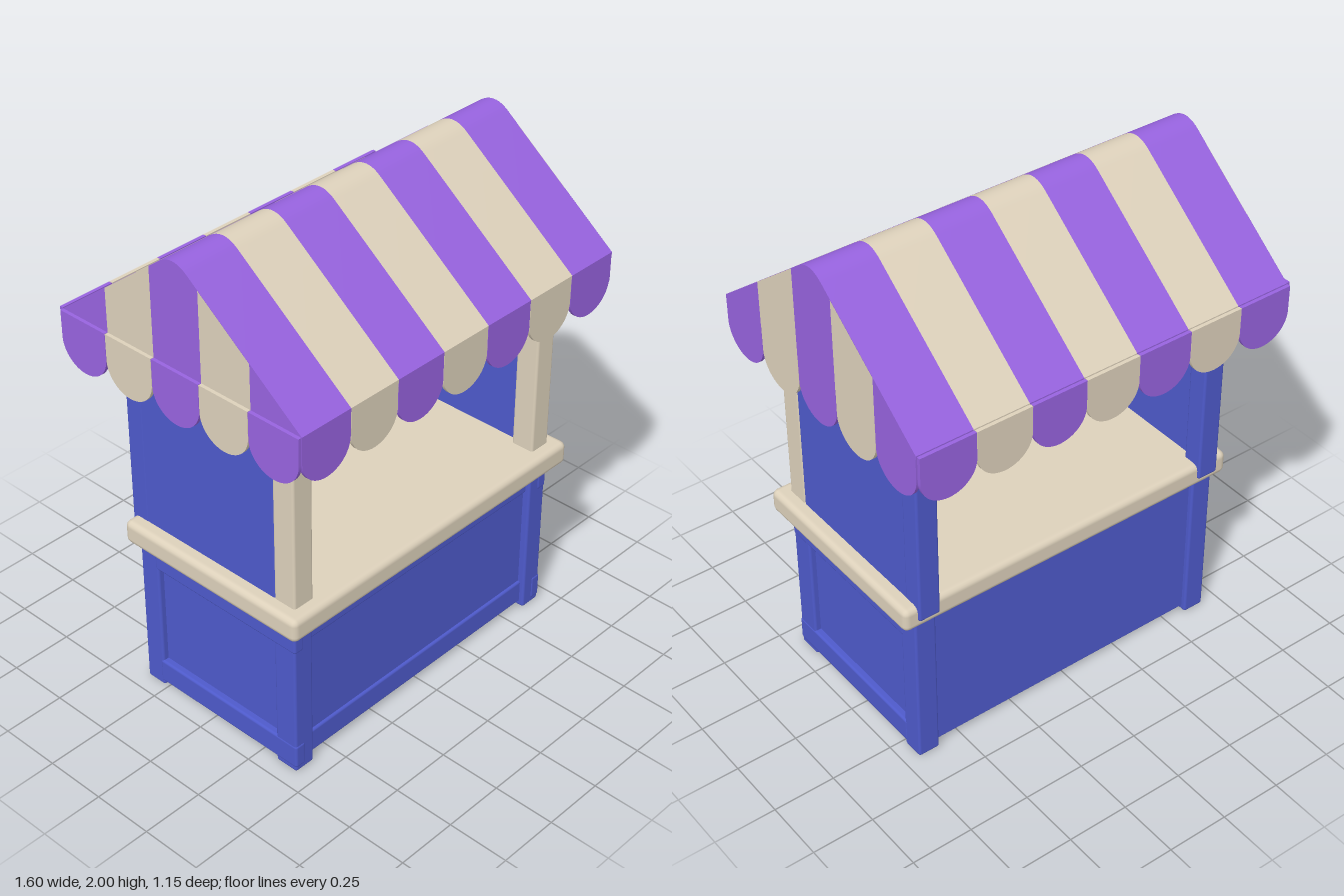
import * as THREE from 'three';
import { toCreasedNormals } from 'three/addons/utils/BufferGeometryUtils.js';
import { RoundedBoxGeometry } from 'three/addons/geometries/RoundedBoxGeometry.js';

const material = (name, color, side = THREE.FrontSide) => {
  const m = new THREE.MeshStandardMaterial({ color, side });
  m.name = name;
  return m;
};

export function createModel() {
  const group = new THREE.Group();
  const blue = material('blue paint', 0x4e5acb);
  const cream = material('cream', 0xddd1bb, THREE.DoubleSide);
  const purple = material('purple cloth', 0x9763df, THREE.DoubleSide);
  const stripe = (i) => (i % 2 ? cream : purple);

  const add = (name, geometry, mat) => {
    const mesh = new THREE.Mesh(geometry, mat);
    mesh.name = name;
    group.add(mesh);
    return mesh;
  };
  // Rounded box given by its extents
  const box = (name, mat, x0, x1, y0, y1, z0, z1, r = 0.01) => {
    const g = new RoundedBoxGeometry(x1 - x0, y1 - y0, z1 - z0, 2, r);
    g.translate((x0 + x1) / 2, (y0 + y1) / 2, (z0 + z1) / 2);
    return add(name, g, mat);
  };
  // Mirrored pair about the stall's middle plane
  const CX = 0.005;
  const pair = (name, mat, x0, x1, ...rest) => {
    box(name + 'Left', mat, CX + x0, CX + x1, ...rest);
    box(name + 'Right', mat, CX - x1, CX - x0, ...rest);
  };

  // Lower cabinet: body, corner posts and rails
  box('cabinetBody', blue, CX - 0.66, CX + 0.66, 0.02, 0.66, -0.335, 0.395, 0.005);
  pair('frontCornerPost', blue, 0.595, 0.685, 0, 0.655, 0.325, 0.425);
  pair('backCornerPost', blue, 0.595, 0.685, 0, 0.655, -0.355, -0.265);
  for (const [label, y0, y1] of [['lower', 0.02, 0.12], ['upper', 0.55, 0.645]]) {
    box(label + 'FrontRail', blue, CX - 0.61, CX + 0.61, y0, y1, 0.36, 0.405);
    pair(label + 'SideRail', blue, 0.64, 0.687, y0, y1, -0.28, 0.428);
  }

  // Counter
  box('counter', cream, -0.735, 0.745, 0.655, 0.752, -0.375, 0.48, 0.025);

  // Front posts and side walls holding up the roof
  pair('roofPost', cream, 0.592, 0.685, 0.7, 1.6, 0.33, 0.428);
  pair('sideWall', blue, 0.62, 0.684, 0.69, 1.6, -0.36, 0.335);
  pair('backRoofPost', blue, 0.595, 0.685, 0.69, 1.6, -0.385, -0.3);

  // Roof outline: straight slopes blending into a rounded ridge
  const EAVE = 1.59, HALF = 0.565, CZ = 0.01, SLOPE = 0.77, ROUND = 0.065;
  const roofY = (z) => {
    const d = Math.abs(z - CZ);
    return d > ROUND
      ? EAVE + SLOPE * (HALF - d)
      : EAVE + SLOPE * (HALF - ROUND) + (SLOPE * (ROUND * ROUND - d * d)) / (2 * ROUND);
  };
  const ridge = [];
  for (let i = -6; i <= 6; i++) ridge.push(CZ + (ROUND * i) / 6);
  const outline = [CZ - HALF, ...ridge, CZ + HALF].map((z) => new THREE.Vector2(z, roofY(z)));
  const inner = outline.map((p) => new THREE.Vector2(p.x, p.y - 0.014)).reverse();

  // Striped roof cloth
  const X0 = -0.785, X1 = 0.799, NX = 7, NZ = 5;
  const wx = (X1 - X0) / NX, wz = (2 * HALF) / NZ;
  for (let i = 0; i < NX; i++) {
    const g = new THREE.ExtrudeGeometry(new THREE.Shape([...outline, ...inner]), {
      depth: wx, bevelEnabled: false,
    });
    g.rotateY(-Math.PI / 2);
    g.translate(X0 + (i + 1) * wx, 0, 0);
    add('roofStripe' + (i + 1), toCreasedNormals(g, 0.5), stripe(i));
  }

  // Striped gable ends
  for (let i = 0; i < NZ; i++) {
    const a = CZ - HALF + i * wz, b = a + wz;
    const tops = [b, ...ridge.filter((z) => z > a && z < b).reverse(), a];
    const pts = [[a, EAVE - 0.01], [b, EAVE - 0.01], ...tops.map((z) => [z, roofY(z)])];
    const shape = new THREE.Shape(pts.map(([z, y]) => new THREE.Vector2(z, y)));
    for (const [label, x, turn] of [['left', X1 + 0.001, 1], ['right', X0 - 0.001, -1]]) {
      const g = new THREE.ShapeGeometry(shape);
      if (turn > 0) {
        // Mirror so that the face looks along +x
        g.scale(-1, 1, 1);
        g.setIndex([...g.index.array].reverse());
        g.rotateY(Math.PI / 2);
      } else g.rotateY(-Math.PI / 2);
      g.translate(x, 0, 0);
      add(label + 'GableStripe' + (i + 1), g, stripe(i));
    }
  }

  // Scalloped valance: one round-ended flap per stripe
  const flap = (w) => {
    const s = new THREE.Shape(), r = w / 2 - 0.001, base = 1.485;
    s.moveTo(-r, EAVE);
    s.lineTo(-r, base);
    s.absellipse(0, base, r, 0.105, Math.PI, Math.PI * 2, false);
    s.lineTo(r, EAVE);
    const g = new THREE.ExtrudeGeometry(s, { depth: 0.014, bevelEnabled: false, curveSegments: 20 });
    g.translate(0, 0, -0.007);
    return toCreasedNormals(g, 0.5);
  };
  const flapX = flap(wx), flapZ = flap(wz);
  for (let i = 0; i < NX; i++) {
    const x = X0 + (i + 0.5) * wx;
    add('frontFlap' + (i + 1), flapX, stripe(i)).position.set(x, 0, 0.567);
    add('backFlap' + (i + 1), flapX, stripe(i)).position.set(x, 0, -0.567);
  }
  for (let i = 0; i < NZ; i++) {
    const z = CZ - HALF + (i + 0.5) * wz;
    for (const [label, x] of [['left', 0.793], ['right', -0.793]]) {
      const m = add(label + 'Flap' + (i + 1), flapZ, stripe(i));
      m.rotation.y = Math.PI / 2;
      m.position.set(x, 0, z);
    }
  }
  return group;
}
